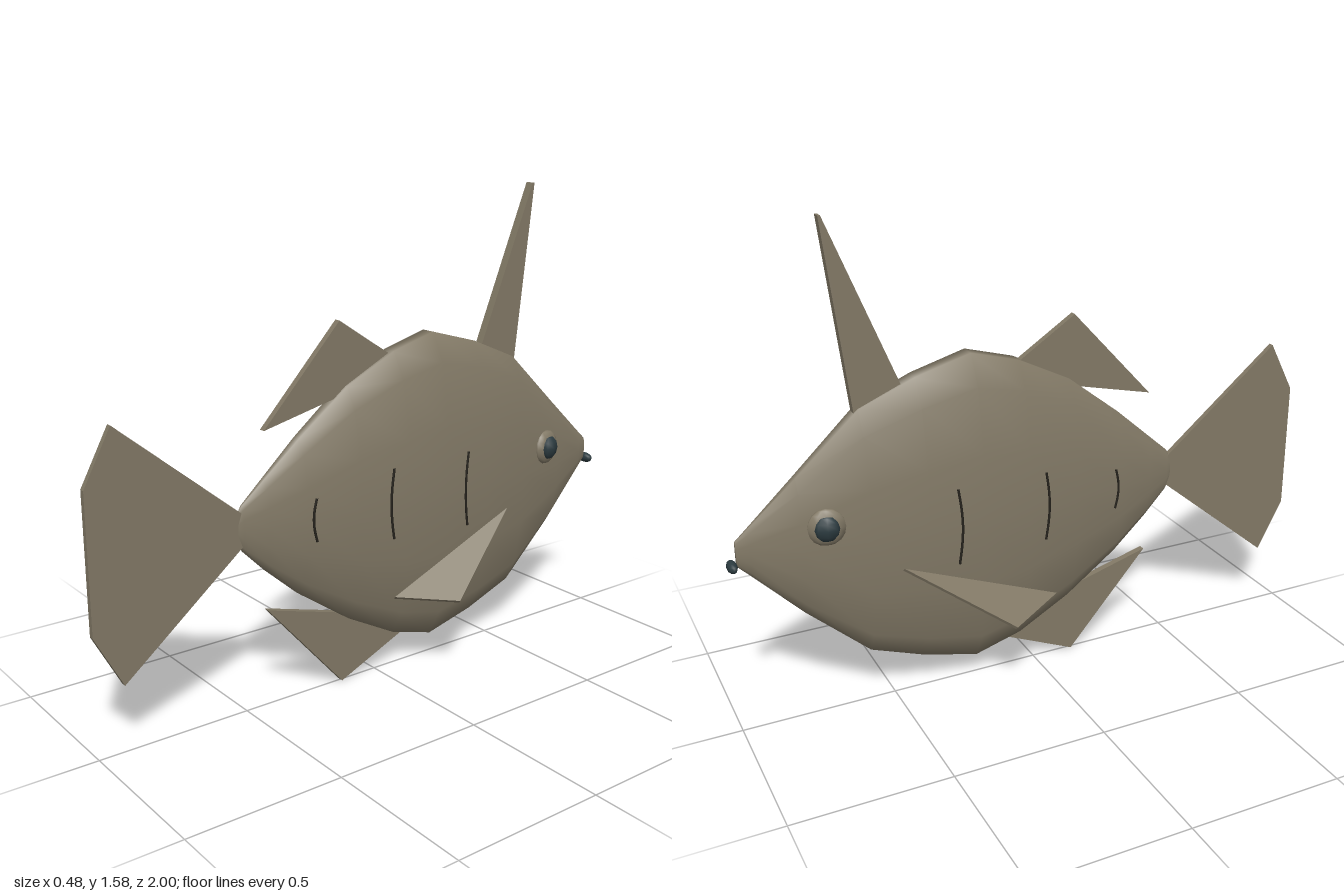
import * as THREE from 'three';
import { ConvexGeometry } from 'three/addons/geometries/ConvexGeometry.js';

// Body stations from snout to tail root: z, top y, bottom y, half width
const STATIONS = [
  [-0.97, 0.645, 0.565, 0.008],
  [-0.93, 0.68, 0.525, 0.02],
  [-0.78, 0.815, 0.37, 0.056],
  [-0.58, 1.0, 0.19, 0.092],
  [-0.40, 1.075, 0.125, 0.11],
  [-0.22, 1.125, 0.08, 0.115],
  [-0.06, 1.08, 0.125, 0.11],
  [0.12, 0.99, 0.22, 0.09],
  [0.30, 0.85, 0.345, 0.062],
  [0.42, 0.745, 0.45, 0.035],
  [0.50, 0.675, 0.53, 0.015],
  [0.525, 0.63, 0.57, 0.006],
];
// One side of the cross-section, top to bottom, as fractions of half width and half height
const SIDE = [[0.22, 1], [0.65, 0.82], [0.96, 0.42], [1, 0], [0.96, -0.42], [0.65, -0.82], [0.22, -1]];
const RING = [...SIDE, ...SIDE.map(([x, y]) => [-x, -y])];

function bodyGeometry() {
  const pos = [], index = [], n = RING.length, last = (STATIONS.length - 1) * n;
  for (const [z, top, bottom, w] of STATIONS)
    for (const [x, y] of RING) pos.push(x * w, (top + bottom) / 2 + y * (top - bottom) / 2, z);
  for (let i = 0; i < STATIONS.length - 1; i++)
    for (let j = 0; j < n; j++) {
      const a = i * n + j, b = i * n + (j + 1) % n;
      index.push(a, a + n, b, b, a + n, b + n);
    }
  for (let j = 1; j < n - 1; j++) index.push(0, j, j + 1, last, last + j + 1, last + j);
  const g = new THREE.BufferGeometry();
  g.setAttribute('position', new THREE.Float32BufferAttribute(pos, 3));
  g.setIndex(index);
  g.computeVertexNormals();
  return g;
}

// Body half width near mid height at a given z
function halfWidth(z) {
  const i = STATIONS.findIndex((s) => s[0] > z);
  const a = STATIONS[i - 1], b = STATIONS[i];
  return THREE.MathUtils.lerp(a[3], b[3], (z - a[0]) / (b[0] - a[0]));
}

// Flat fin on the centre plane from [z, y] corners
function finGeometry(points, thickness) {
  const shape = new THREE.Shape(points.map(([z, y]) => new THREE.Vector2(z, y)));
  const g = new THREE.ExtrudeGeometry(shape, { depth: thickness, bevelEnabled: false });
  return g.translate(0, 0, -thickness / 2).rotateY(-Math.PI / 2);
}

export function createModel() {
  const model = new THREE.Group();
  const skin = new THREE.MeshStandardMaterial({ name: 'skin', color: 0x827966 });
  const slate = new THREE.MeshStandardMaterial({ name: 'darkSlate', color: 0x2c3b40 });
  const line = new THREE.MeshStandardMaterial({ name: 'darkLine', color: 0x26231d });

  const add = (name, geometry, material, parent = model) => {
    const mesh = new THREE.Mesh(geometry, material);
    mesh.name = name;
    parent.add(mesh);
    return mesh;
  };

  add('body', bodyGeometry(), skin);

  // Centre-plane fins and the tall spine
  add('tailFin', finGeometry([[0.45, 0.61], [0.45, 0.56], [0.505, 0.545], [0.91, 0.215], [1, 0.385],
    [1, 0.82], [0.91, 0.99], [0.505, 0.655]], 0.018), skin);
  add('dorsalFin', finGeometry([[-0.07, 1.06], [0.06, 0.98], [0.42, 0.895], [0.14, 1.197]], 0.022), skin);
  add('bellyFin', finGeometry([[-0.13, 0.12], [0.14, 0.002], [0.42, 0.322], [0.06, 0.22]], 0.022), skin);
  add('spine', finGeometry([[-0.44, 1.05], [-0.59, 0.97], [-0.663, 1.577], [-0.655, 1.577]], 0.03), skin);

  // Lips
  add('mouth', new THREE.SphereGeometry(0.018, 10, 6), slate).position.set(0, 0.567, -0.984);
  model.children.at(-1).scale.set(1.9, 1, 0.9);

  for (const s of [1, -1]) {
    const side = s > 0 ? 'left' : 'right';

    // Swept side fin
    const corners = [[0.108, 0.495, -0.49], [0.235, 0.275, -0.17], [0.132, 0.302, 0.018]]
      .map(([x, y, z]) => new THREE.Vector3(x * s, y, z));
    const normal = new THREE.Triangle(...corners).getNormal(new THREE.Vector3()).multiplyScalar(0.006);
    add(side + 'SideFin', new ConvexGeometry(corners.flatMap((c) =>
      [c.clone().add(normal), c.clone().sub(normal)])), skin);

    // Eye in a flattened socket
    const eye = new THREE.Group();
    eye.name = side + 'Eye';
    eye.position.set(0.066 * s, 0.667, -0.71);
    eye.rotation.y = 0.17 * s;
    model.add(eye);
    add('socket', new THREE.SphereGeometry(0.06, 10, 8), skin, eye).scale.x = 0.4;
    const ball = add('eyeball', new THREE.SphereGeometry(0.042, 8, 6), slate, eye);
    ball.scale.x = 0.6;
    ball.position.x = 0.012 * s;

    // Curved flank lines lying on the skin
    for (const [z, low, high] of [[-0.307, 0.475, 0.73], [-0.003, 0.49, 0.725], [0.27, 0.53, 0.67]]) {
      const points = [0, 0.25, 0.5, 0.75, 1].map((t) => {
        const bow = z + 0.012 * Math.sin(Math.PI * t);
        const x = halfWidth(bow) * (0.98 + 0.02 * Math.sin(Math.PI * t)) + 0.001;
        return new THREE.Vector3(x * s, low + (high - low) * t, bow);
      });
      add(side + 'FlankLine', new THREE.TubeGeometry(new THREE.CatmullRomCurve3(points), 12, 0.004, 6), line);
    }
  }
  return model;
}
